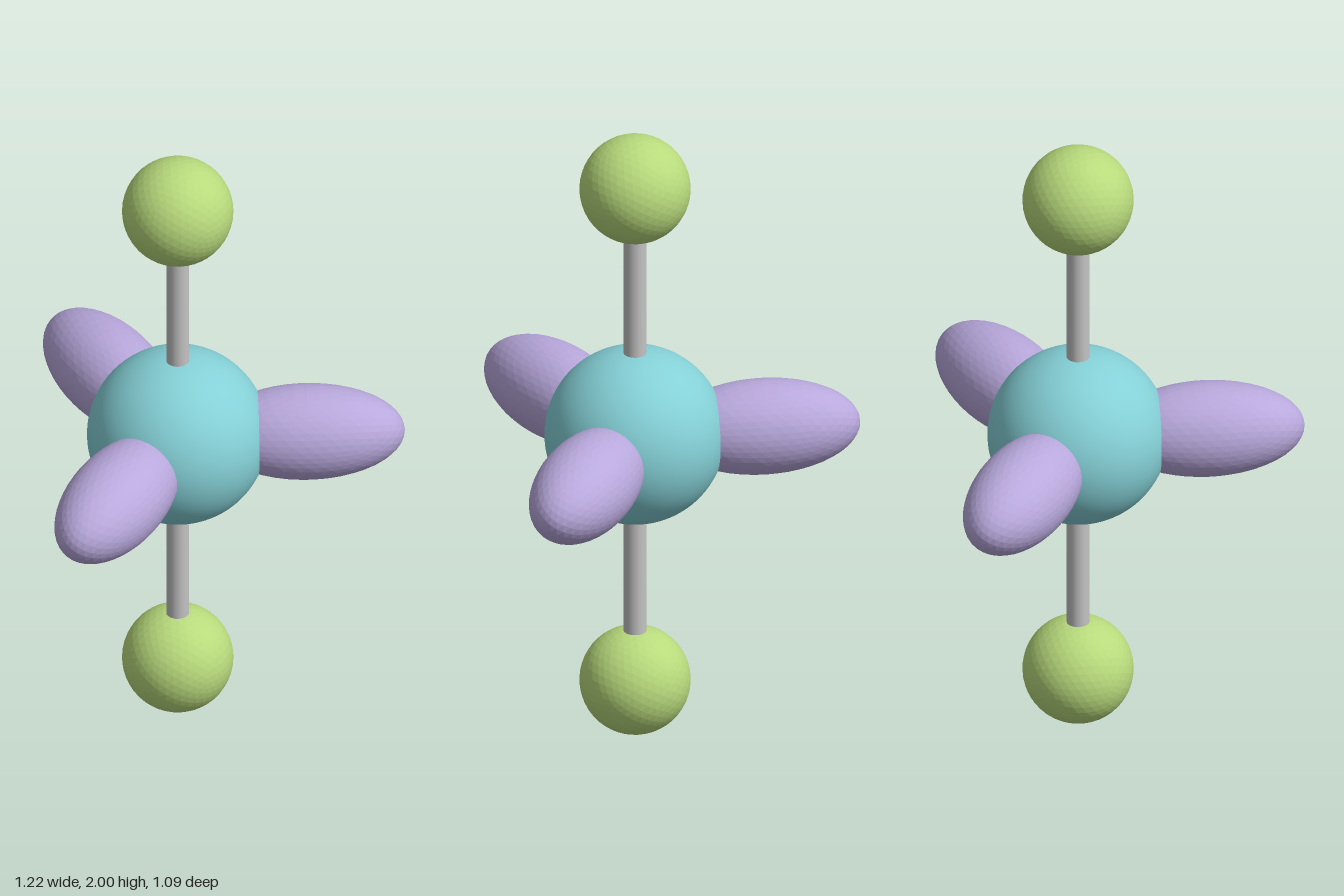
import * as THREE from 'three';

export function createModel() {
  const model = new THREE.Group();
  model.name = 'trigonalMolecule';

  const mat = (name, color, flatShading = false) => {
    const m = new THREE.MeshStandardMaterial({ color, flatShading });
    m.name = name;
    return m;
  };
  const teal = mat('teal', 0x84d0d6);
  const green = mat('green', 0xb8da7c, true);
  const purple = mat('purple', 0xb8a8dc, true);
  const grey = mat('grey', 0xc4c4c4);

  const add = (parent, name, geometry, material, x, y, z) => {
    const mesh = new THREE.Mesh(geometry, material);
    mesh.name = name;
    mesh.position.set(x, y, z);
    parent.add(mesh);
    return mesh;
  };

  // Everything is arranged around the central atom
  const core = new THREE.Group();
  core.name = 'core';
  core.position.set(0, 1, -0.15);
  model.add(core);
  add(core, 'centralAtom', new THREE.SphereGeometry(0.277, 64, 40), teal, 0, 0, 0);

  // Outer atoms and their bonds, above and below
  const atom = new THREE.IcosahedronGeometry(0.17, 7);
  const bond = new THREE.CylinderGeometry(0.035, 0.035, 0.5, 24);
  for (const [label, s] of [['upper', 1], ['lower', -1]]) {
    add(core, label + 'Atom', atom, green, 0, s * 0.83, 0);
    add(core, label + 'Bond', bond, grey, 0, s * 0.48, 0);
  }

  // Three elongated lobes around the middle, the first facing the front
  const lobe = new THREE.IcosahedronGeometry(1, 7).scale(0.148, 0.148, 0.3);
  ['frontLobe', 'backLeftLobe', 'backRightLobe'].forEach((name, i) => {
    const a = (i * Math.PI * 2) / 3;
    add(core, name, lobe, purple, 0.394 * Math.sin(a), 0, 0.394 * Math.cos(a)).rotation.y = a;
  });

  return model;
}
